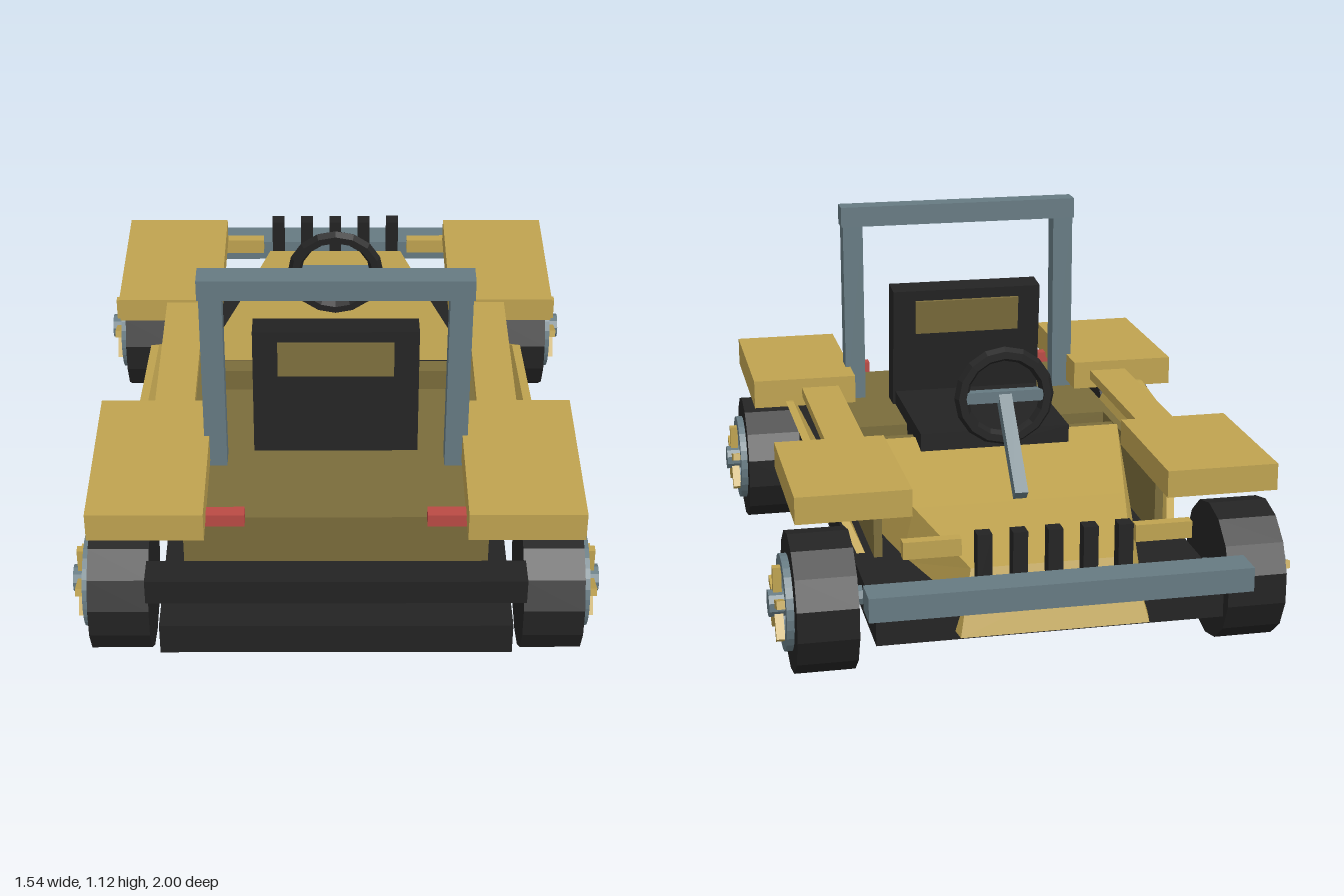
import * as THREE from 'three';

const mat = (name, color) => {
  const m = new THREE.MeshStandardMaterial({ color, flatShading: true });
  m.name = name;
  return m;
};

export function createModel() {
  const car = new THREE.Group();
  car.name = 'buggy';
  const gold = mat('gold', 0xbfa350), olive = mat('dark olive', 0x7a6c3b);
  const black = mat('black', 0x232323), steel = mat('steel', 0x667a82), red = mat('red', 0xba4a44);

  const add = (name, geo, m, parent = car) => {
    const mesh = new THREE.Mesh(geo, m);
    mesh.name = name;
    parent.add(mesh);
    return mesh;
  };
  // box from its lower and upper limits on each axis
  const box = (name, m, x0, x1, y0, y1, z0, z1) => {
    const mesh = add(name, new THREE.BoxGeometry(Math.abs(x1 - x0), y1 - y0, z1 - z0), m);
    mesh.position.set((x0 + x1) / 2, (y0 + y1) / 2, (z0 + z1) / 2);
    return mesh;
  };
  const pair = (name, m, x0, x1, ...rest) => {
    box(name + 'Left', m, x0, x1, ...rest);
    box(name + 'Right', m, -x0, -x1, ...rest);
  };

  // chassis and tub
  box('chassis', black, -0.5, 0.5, 0.16, 0.26, -0.86, 1);
  box('rearBumper', black, -0.54, 0.54, 0.3, 0.38, 0.86, 0.95);
  box('rearDeck', olive, -0.44, 0.44, 0.28, 0.47, 0.15, 0.775);
  box('floorSill', gold, -0.47, 0.47, 0.258, 0.282, 0.15, 0.6);
  box('dashboard', olive, -0.42, 0.42, 0.26, 0.468, -0.005, 0.05);
  pair('innerWall', olive, 0.415, 0.44, 0.26, 0.47, -0.45, 0.16);

  // fenders, rails, lights
  pair('frontFender', gold, 0.37, 0.7, 0.48, 0.56, -0.72, -0.22);
  pair('rearFender', gold, 0.37, 0.7, 0.49, 0.58, 0.36, 0.9);
  pair('sideRail', gold, 0.425, 0.545, 0.52, 0.55, -0.22, 0.36);
  pair('tailLight', red, 0.26, 0.405, 0.465, 0.505, 0.77, 0.81);
  pair('headlight', gold, 0.25, 0.415, 0.39, 0.44, -0.815, -0.78);

  // nose
  box('frontBumper', steel, -0.54, 0.54, 0.29, 0.36, -1, -0.9);
  for (let i = -2; i <= 2; i++) {
    box('grilleBar', black, i * 0.1 - 0.021, i * 0.1 + 0.021, 0.31, 0.475, -0.89, -0.845);
  }

  // hood lofted through three cross-sections: top half width, top y, top z, bottom half width, y, z
  const rings = [
    [0.42, 0.475, 0, 0.43, 0.26, 0],
    [0.32, 0.405, -0.45, 0.36, 0.24, -0.45],
    [0.23, 0.36, -0.84, 0.27, 0.18, -0.9],
  ].map(([tx, ty, tz, bx, by, bz]) => [[bx, by, bz], [tx, ty, tz], [-tx, ty, tz], [-bx, by, bz]]);
  const pos = [];
  const quad = (a, b, c, d) => pos.push(...a, ...b, ...c, ...a, ...c, ...d);
  for (let i = 0; i < 2; i++) {
    for (let j = 0; j < 4; j++) {
      const k = (j + 1) % 4;
      quad(rings[i][j], rings[i + 1][j], rings[i + 1][k], rings[i][k]);
    }
  }
  const nose = rings[2];
  quad(nose[0], nose[3], nose[2], nose[1]);
  const hoodGeo = new THREE.BufferGeometry();
  hoodGeo.setAttribute('position', new THREE.Float32BufferAttribute(pos, 3));
  hoodGeo.computeVertexNormals();
  add('hood', hoodGeo, gold);

  // side panels, leaning outward towards the top
  const outline = [[0.6, 0.265], [0.55, 0.495], [0.34, 0.51], [-0.07, 0.485], [-0.42, 0.265]];
  const panelShape = new THREE.Shape(outline.map(([z, y]) => new THREE.Vector2(-z, y)));
  for (const s of [1, -1]) {
    const geo = new THREE.ExtrudeGeometry(panelShape, { depth: 0.025, bevelEnabled: false });
    geo.rotateY(Math.PI / 2);
    const p = geo.attributes.position;
    for (let i = 0; i < p.count; i++) {
      const lean = 0.475 + (p.getY(i) - 0.265) * 0.46;
      p.setX(i, s * lean + p.getX(i) - 0.0125);
    }
    geo.computeVertexNormals();
    add(s > 0 ? 'sidePanelLeft' : 'sidePanelRight', geo, gold);
  }

  // seat
  box('seatCushion', black, -0.235, 0.235, 0.42, 0.515, -0.1, 0.4);
  const back = box('seatBack', black, -0.243, 0.243, 0.45, 0.865, 0.35, 0.435);
  back.position.z = 0.4;
  back.rotation.x = -0.1;
  const inset = box('seatInset', olive, -0.17, 0.17, 0.72, 0.83, 0.335, 0.435);
  inset.rotation.x = -0.1;

  // roll bar
  pair('rollBarPost', steel, 0.32, 0.385, 0.46, 1.06, 0.47, 0.535);
  box('rollBarTop', steel, -0.39, 0.39, 1.052, 1.117, 0.468, 0.537);

  // steering
  const rim = add('steeringWheel', new THREE.TorusGeometry(0.132, 0.022, 6, 16), black);
  rim.position.set(0, 0.662, -0.224);
  box('steeringSpoke', steel, -0.125, 0.125, 0.645, 0.68, -0.24, -0.21);
  const column = add('steeringColumn', new THREE.BoxGeometry(0.04, 0.04, 0.33), steel);
  column.position.set(0, 0.54, -0.34);
  column.rotation.x = -0.8;

  // wheels and axles
  const disc = (r, w, n = 14) =>
    new THREE.CylinderGeometry(r, r, w, n).rotateZ(Math.PI / 2).rotateX(Math.PI / 2);
  const ringShape = new THREE.Shape().absarc(0, 0, 0.14, 0, Math.PI * 2);
  ringShape.holes.push(new THREE.Path().absarc(0, 0, 0.104, 0, Math.PI * 2, true));
  const ringGeo = new THREE.ExtrudeGeometry(ringShape, { depth: 0.03, bevelEnabled: false, curveSegments: 14 });
  ringGeo.translate(0, 0, -0.015).rotateY(Math.PI / 2);
  for (const [end, z] of [['front', -0.6], ['rear', 0.73]]) {
    const axle = add(end + 'Axle', disc(0.03, 1.3, 8), steel);
    axle.position.set(0, 0.208, z);
    for (const s of [1, -1]) {
      const wheel = new THREE.Group();
      wheel.name = end + (s > 0 ? 'WheelLeft' : 'WheelRight');
      wheel.position.set(0, 0.205, z);
      car.add(wheel);
      add('tire', disc(0.205, 0.175), black, wheel).position.x = s * 0.623;
      add('rimRing', ringGeo, steel, wheel).position.x = s * 0.717;
      add('hub', disc(0.04, 0.07, 10), steel, wheel).position.x = s * 0.735;
      for (let i = 0; i < 5; i++) {
        const a = (i / 5) * Math.PI * 2;
        const spoke = add('spoke', new THREE.BoxGeometry(0.025, 0.085, 0.024), gold, wheel);
        spoke.position.set(s * 0.743, Math.cos(a) * 0.068, Math.sin(a) * 0.068);
        spoke.rotation.x = a;
      }
    }
  }
  return car;
}
